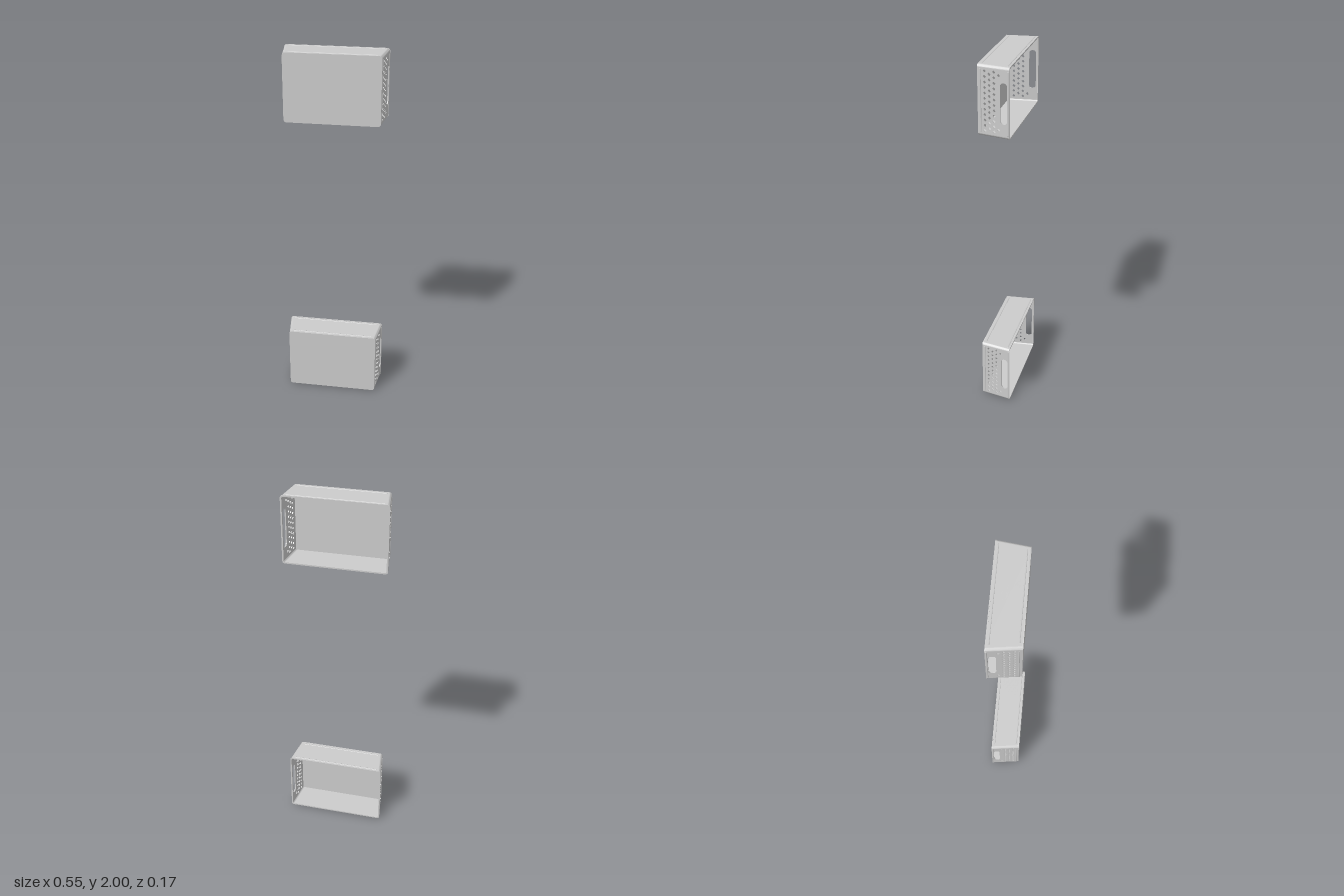
import * as THREE from 'three';
import { toCreasedNormals } from 'three/addons/utils/BufferGeometryUtils.js';

const mat = new THREE.MeshStandardMaterial({ color: 0xcccccc, side: THREE.DoubleSide });
const X0 = 0.261, HY = 0.181, HZ = 0.083;  // half sizes at mid depth
const K = 0.13, R = 0.014, T = 0.006;      // end-wall slope, corner radius, wall thickness
const halfX = z => X0 - K * z;

function mesh(name, geometry) {
  const m = new THREE.Mesh(geometry, mat);
  m.name = name;
  return m;
}

function extrude(shape, depth) {
  return new THREE.ExtrudeGeometry(shape, { depth, bevelEnabled: false, curveSegments: 6 });
}

// Lean the ends outwards towards the open side
function slant(geo) {
  const p = geo.attributes.position;
  for (let i = 0; i < p.count; i++) {
    p.setX(i, p.getX(i) - Math.sign(p.getX(i)) * K * p.getZ(i));
  }
  return toCreasedNormals(geo, 0.6);
}

function roundedRect(target, cx, cy, w, h, r) {
  target.absarc(cx + w - r, cy + h - r, r, 0, Math.PI / 2);
  target.absarc(cx - w + r, cy + h - r, r, Math.PI / 2, Math.PI);
  target.absarc(cx - w + r, cy - h + r, r, Math.PI, Math.PI * 1.5);
  target.absarc(cx + w - r, cy - h + r, r, Math.PI * 1.5, Math.PI * 2);
  target.closePath();
  return target;
}

function polygon(points) {
  return new THREE.Shape(points.map(([x, y]) => new THREE.Vector2(x, y)));
}

function diamond(x, y, w, h) {
  return polygon([[x + w, y], [x, y + h], [x - w, y], [x, y - h]]);
}

// Long wall: trapezoid with staggered diamond holes, shape y = -z
function longWall(side) {
  const a = halfX(HZ) - R, b = halfX(-HZ) - R;
  const shape = polygon([[-a, -HZ], [a, -HZ], [b, HZ], [-b, HZ]]);
  for (let row = 0; row < 8; row++) {
    const n = row % 2 ? 12 : 13;
    for (let i = 0; i < n; i++) {
      shape.holes.push(diamond((i - (n - 1) / 2) * 0.039, 0.0435 - row * 0.0125, 0.0092, 0.0062));
    }
  }
  const geo = extrude(shape, T).rotateX(-Math.PI / 2);
  geo.translate(0, side > 0 ? HY - T : -HY, 0);
  return mesh('longWall', geo);
}

// End wall: hand slot near the rim and staggered holes, shape x = -z
function endWall(side) {
  const h = HY - R;
  const shape = polygon([[-HZ, -h], [HZ, -h], [HZ, h], [-HZ, h]]);
  shape.holes.push(roundedRect(new THREE.Path(), 0.053, 0, 0.018, 0.104, 0.017));
  for (let col = 0; col < 4; col++) {
    const n = col % 2 ? 11 : 12;
    for (let i = 0; i < n; i++) {
      const y = (i - (n - 1) / 2) * 0.0275;
      if (col === 3 && Math.abs(y) < 0.118) continue;
      shape.holes.push(diamond(-0.046 + col * 0.0242, y, 0.0085, 0.009));
    }
  }
  const geo = extrude(shape, T).rotateY(Math.PI / 2);
  geo.translate(side > 0 ? X0 - T : -X0, 0, 0);
  return mesh('endWall', slant(geo));
}

// Rounded corner between a long wall and an end wall
function corner(sx, sy) {
  const start = sx > 0 ? (sy > 0 ? 0 : 1.5) : (sy > 0 ? 0.5 : 1);
  const a = start * Math.PI, b = a + Math.PI / 2;
  const cx = sx * (X0 - R), cy = sy * (HY - R);
  const shape = new THREE.Shape();
  shape.absarc(cx, cy, R, a, b, false);
  shape.absarc(cx, cy, R - T, b, a, true);
  shape.closePath();
  return mesh('corner', slant(extrude(shape, HZ * 2).translate(0, 0, -HZ)));
}

function ridge(halfLength, radius) {
  return new THREE.CapsuleGeometry(radius, 2 * (halfLength - radius), 4, 8);
}

function crate() {
  const g = new THREE.Group();
  g.name = 'crate';

  // Closed base
  const base = roundedRect(new THREE.Shape(), 0, 0, halfX(HZ), HY, R);
  g.add(mesh('base', toCreasedNormals(extrude(base, T).translate(0, 0, HZ - T), 0.6)));

  // Rim around the opening
  const w = halfX(-HZ);
  const rim = roundedRect(new THREE.Shape(), 0, 0, w + 0.001, HY + 0.001, R);
  rim.holes.push(roundedRect(new THREE.Path(), 0, 0, w - T - 0.001, HY - T, R - T));
  g.add(mesh('rim', toCreasedNormals(extrude(rim, 0.005).translate(0, 0, -HZ), 0.6)));

  // Walls, corners and raised ridges
  for (const s of [-1, 1]) {
    g.add(longWall(s), endWall(s), corner(s, 1), corner(s, -1));
    for (const [z, half] of [[-0.067, 0.249], [0.065, 0.23]]) {
      const bar = mesh('longRidge', ridge(half, 0.004));
      bar.rotation.z = Math.PI / 2;
      bar.position.set(0, s * (HY - 0.002), z);
      g.add(bar);
    }
    for (const z of [-0.076, 0.067]) {
      const bar = mesh('endRidge', ridge(0.163, 0.0035));
      bar.position.set(s * (halfX(z) - 0.001), 0, z);
      g.add(bar);
    }
  }
  return g;
}

export function createModel() {
  const model = new THREE.Group();
  model.name = 'crates';
  for (const y of [HY + 0.002, 2 - HY - 0.002]) {
    const c = crate();
    c.position.y = y;
    model.add(c);
  }
  return model;
}
